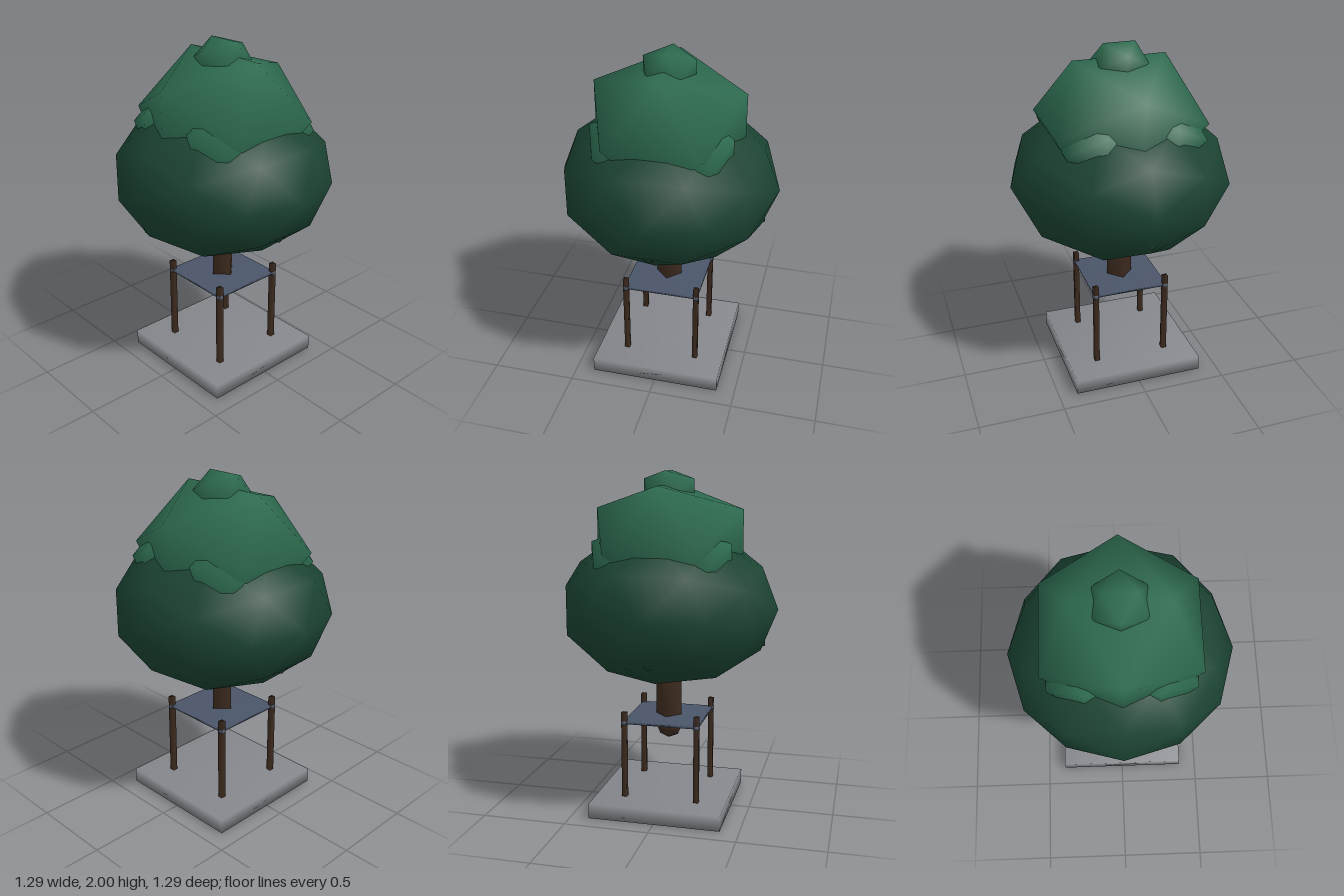
import * as THREE from 'three';
import { mergeVertices } from 'three/addons/utils/BufferGeometryUtils.js';

// Welds all corners so that shading is smooth across the low-poly facets
function weld(geometry) {
  geometry.deleteAttribute('normal');
  geometry.deleteAttribute('uv');
  const welded = mergeVertices(geometry, 1e-4);
  welded.computeVertexNormals();
  return welded;
}

const material = (color) => new THREE.MeshStandardMaterial({ color });

export function createModel() {
  const model = new THREE.Group();
  const stone = material(0x85878c);
  const wood = material(0x3d2b1f);
  const slate = material(0x4a5568);
  const darkLeaf = material(0x1b4332);
  const lightLeaf = material(0x2d6a4f);

  const add = (name, geometry, mat, x, y, z) => {
    const mesh = new THREE.Mesh(weld(geometry), mat);
    mesh.name = name;
    mesh.position.set(x, y, z);
    model.add(mesh);
    return mesh;
  };

  // Flattened icosahedron used for every clump of leaves
  const clump = (name, radius, height, detail, mat, x, y, z) =>
    add(name, new THREE.IcosahedronGeometry(radius, detail).scale(1, height / radius, 1), mat, x, y, z);

  // Square base and the thin shelf held between the posts
  add('base', new THREE.BoxGeometry(0.78, 0.09, 0.78), stone, 0, 0.045, 0);
  add('shelf', new THREE.BoxGeometry(0.45, 0.016, 0.45), slate, 0, 0.547, 0);

  // Four posts with a small collar at the shelf corners
  for (const sx of [-1, 1]) {
    for (const sz of [-1, 1]) {
      add('post', new THREE.BoxGeometry(0.03, 0.53, 0.03), wood, sx * 0.217, 0.345, sz * 0.217);
      add('collar', new THREE.CylinderGeometry(0.02, 0.02, 0.022, 8), slate, sx * 0.217, 0.547, sz * 0.217);
    }
  }

  // Four-sided trunk with a rounded lower end
  add('trunk', new THREE.CapsuleGeometry(0.078, 0.5, 2, 4), wood, 0, 0.733, 0);

  // Crown: broad body, upper tier and tip
  clump('crownBody', 0.645, 0.463, 1, darkLeaf, 0, 1.22, 0);
  clump('crownUpper', 0.513, 0.41, 0, lightLeaf, 0, 1.57, 0);
  clump('crownTip', 0.175, 0.14, 0, lightLeaf, 0, 1.881, 0);

  // Shoulder clumps on the diagonals
  for (const sx of [-1, 1]) {
    for (const sz of [-1, 1]) {
      clump('shoulderClump', 0.241, 0.2, 0, lightLeaf, sx * 0.2, 1.5, sz * 0.2);
    }
  }

  // Lower clumps that barely break through the crown body
  for (const [x, z] of [[1, 0], [-1, 0], [0, 1], [0, -1]]) {
    clump('lowerClump', 0.285, 0.22, 0, darkLeaf, x * 0.33, 1.12, z * 0.33);
  }

  return model;
}
